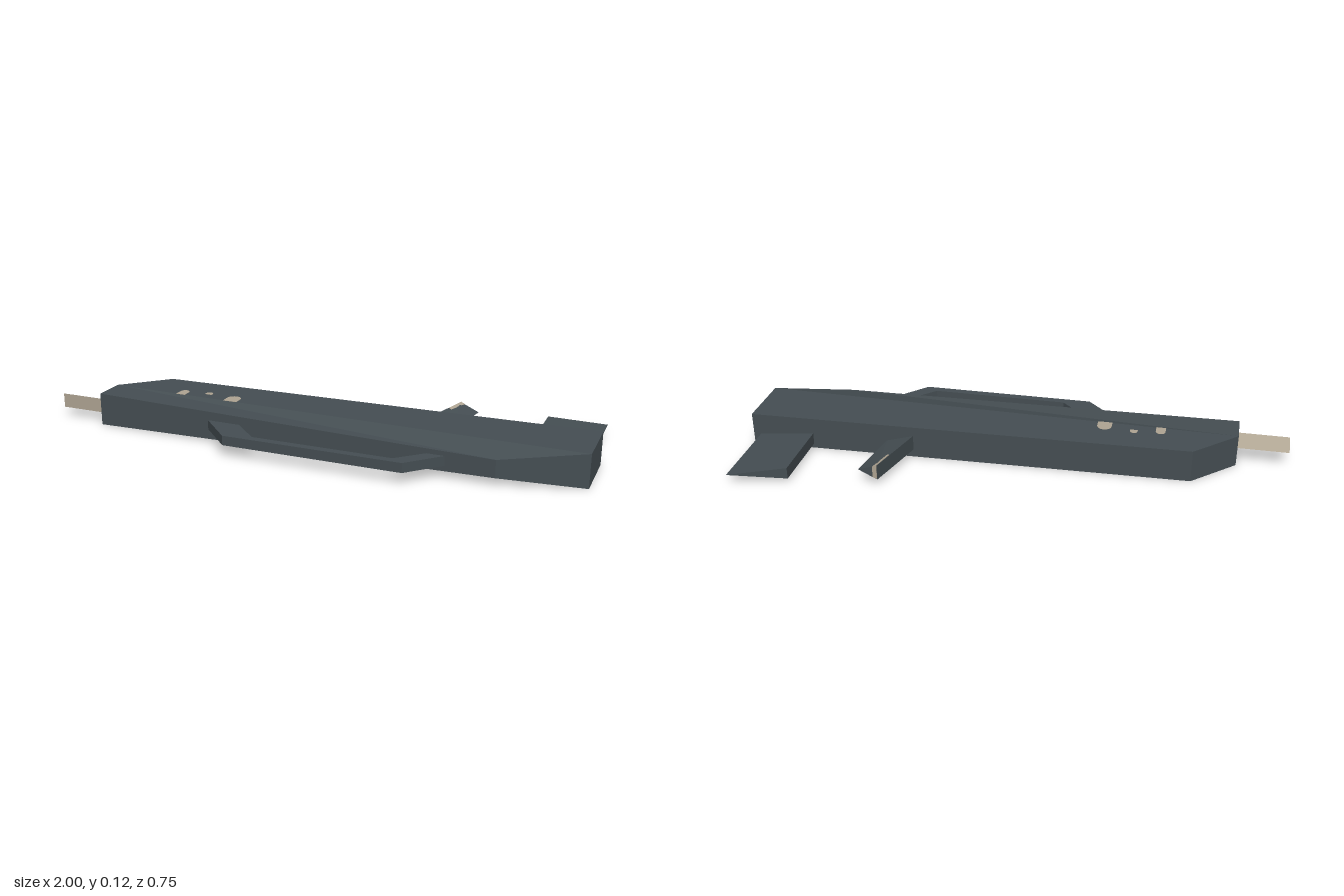
import * as THREE from 'three';

const gunmetal = new THREE.MeshStandardMaterial({ color: 0x454e53 });
gunmetal.name = 'gunmetal';
const sand = new THREE.MeshStandardMaterial({ color: 0xb0a593 });
sand.name = 'sand';

// Faceted slab from a plan outline of [x, z, yBottom, yTop] corners,
// listed left -> front -> right -> back.
function slab(corners) {
  const pos = [];
  const lo = (i) => [corners[i][0], corners[i][2], corners[i][1]];
  const hi = (i) => [corners[i][0], corners[i][3], corners[i][1]];
  const tri = (...points) => points.forEach((p) => pos.push(...p));
  const n = corners.length;
  for (let i = 1; i < n - 1; i++) {
    tri(hi(0), hi(i), hi(i + 1));
    tri(lo(0), lo(i + 1), lo(i));
  }
  for (let i = 0; i < n; i++) {
    const j = (i + 1) % n;
    if (corners[j][2] !== corners[j][3]) tri(lo(i), lo(j), hi(j));
    if (corners[i][2] !== corners[i][3]) tri(lo(i), hi(j), hi(i));
  }
  const geometry = new THREE.BufferGeometry();
  geometry.setAttribute('position', new THREE.Float32BufferAttribute(pos, 3));
  geometry.computeVertexNormals();
  return geometry;
}

// Flat plan outline of [x, z] points extruded upward
function plate(points, y, height) {
  const shape = new THREE.Shape(points.map(([x, z]) => new THREE.Vector2(x, -z)));
  return new THREE.ExtrudeGeometry(shape, { depth: height, bevelEnabled: false })
    .rotateX(-Math.PI / 2)
    .translate(0, y, 0);
}

export function createModel() {
  const model = new THREE.Group();
  const add = (name, geometry, material) => {
    const mesh = new THREE.Mesh(geometry, material);
    mesh.name = name;
    model.add(mesh);
  };

  // Long body, pinched at its front right corner
  add('body', slab([
    [-0.812, 0.13, 0, 0.122],
    [-0.812, 0.248, 0, 0.122],
    [0.71, 0.263, 0.03, 0.094],
    [0.997, 0.163, 0, 0.122],
    [0.997, -0.064, 0, 0.122],
    [-0.655, -0.02, 0, 0.122],
  ]), gunmetal);

  // Barrel: wedge section, sharp toward the back
  add('barrel', slab([
    [-1, 0.148, 0.0625, 0.0625],
    [-1, 0.218, 0.036, 0.09],
    [-0.78, 0.218, 0.036, 0.09],
    [-0.78, 0.148, 0.0625, 0.0625],
  ]), sand);

  // Rear stock fin: wedge section, sharp toward the end
  add('stockFin', slab([
    [0.76, -0.322, 0.018, 0.061],
    [0.76, -0.05, 0.018, 0.061],
    [0.97, -0.05, 0.0395, 0.0395],
    [0.97, -0.377, 0.0395, 0.0395],
  ]), gunmetal);

  // Slanted grip with a pale inlay along its thick edge
  add('grip', slab([
    [0.436, -0.283, 0.03, 0.087],
    [0.37, -0.045, 0.03, 0.087],
    [0.471, -0.045, 0.0585, 0.0585],
    [0.509, -0.274, 0.0585, 0.0585],
  ]), gunmetal);
  add('gripInlay', slab([
    [0.437, -0.285, 0.034, 0.0878],
    [0.415, -0.2, 0.034, 0.0878],
    [0.425, -0.195, 0.036, 0.084],
    [0.453, -0.283, 0.038, 0.081],
  ]), sand);

  // Carrying rail on the front side
  add('rail', plate([
    [-0.365, 0.24], [-0.23, 0.376], [0.428, 0.376], [0.558, 0.24],
    [0.495, 0.24], [0.385, 0.347], [-0.13, 0.347], [-0.24, 0.24],
  ], 0.046, 0.035), gunmetal);

  // Pale studs showing on the upper face
  const studs = [
    ['rearStud', -0.322, 0.108, 0.027, 0.14],
    ['middleStud', -0.433, 0.09, 0.014, 0.1],
    ['frontStud', -0.53, 0.105, 0.018, 0.137],
  ];
  for (const [name, x, z, r, zEnd] of studs) {
    const outline = [[x - r, zEnd], [x + r, zEnd]];
    for (let i = 0; i <= 8; i++) {
      const a = (i / 8) * Math.PI;
      outline.push([x + r * Math.cos(a), z - r * Math.sin(a)]);
    }
    add(name, plate(outline, 0.12, 0.003), sand);
  }

  return model;
}
